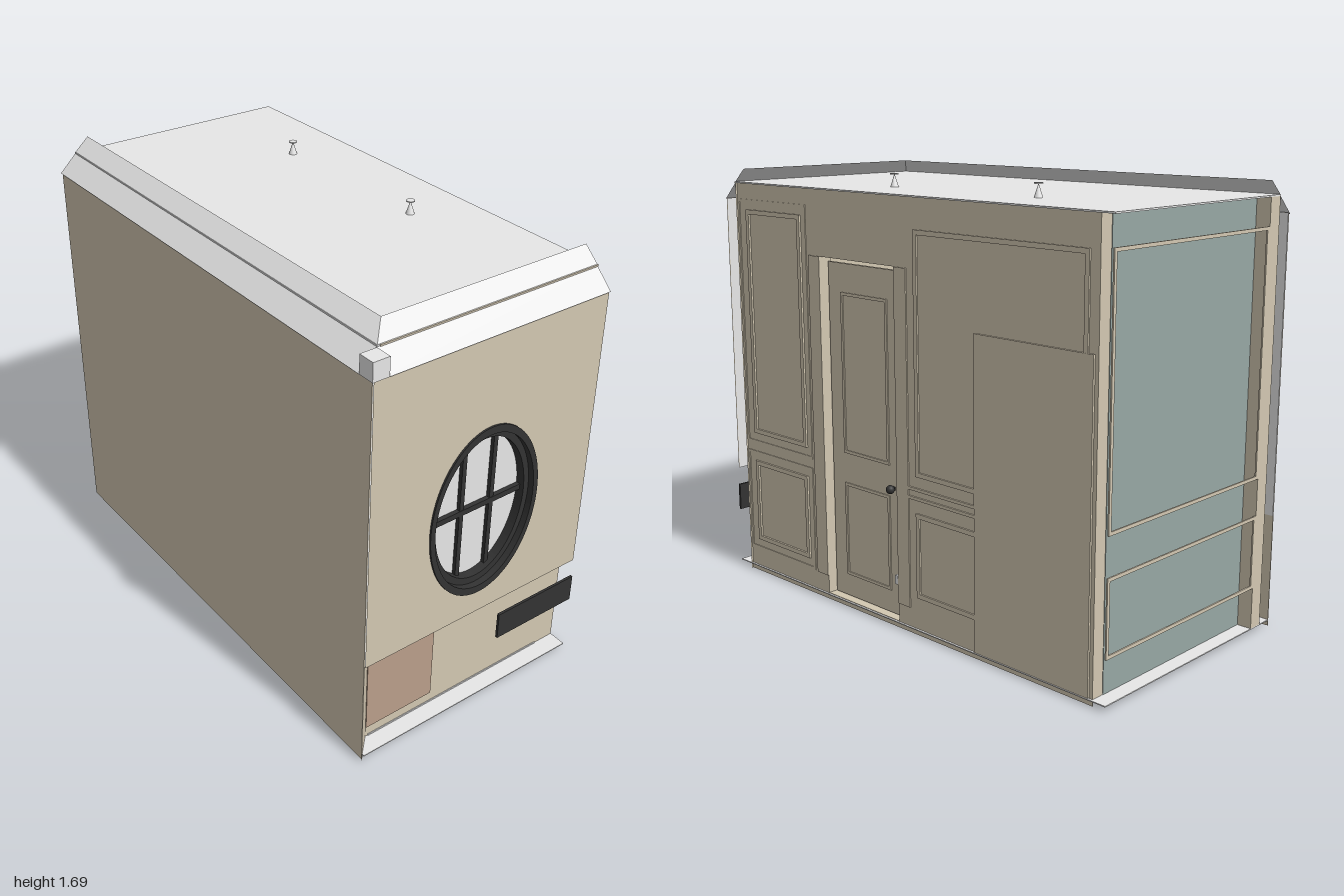
import * as THREE from 'three';

const mat = (name, color, side = THREE.FrontSide) => {
  const m = new THREE.MeshStandardMaterial({ color, side });
  m.name = name;
  return m;
};

export function createModel() {
  const beige = mat('beige paint', 0xd3c8b2, THREE.DoubleSide);
  const grey = mat('light grey', 0xe7e7e7, THREE.DoubleSide);
  const black = mat('black metal', 0x333333, THREE.DoubleSide);
  const teal = mat('teal wall', 0x97a7a4);
  const red = mat('dusty red', 0xba9f8a);

  const model = new THREE.Group();
  model.name = 'vestibule';
  const add = (name, geometry, material, parent = model) => {
    const mesh = new THREE.Mesh(geometry, material);
    mesh.name = name;
    parent.add(mesh);
    return mesh;
  };
  // box from its minimum and maximum corners
  const box = (name, material, x0, x1, y0, y1, z0, z1, parent) => {
    const mesh = add(name, new THREE.BoxGeometry(x1 - x0, y1 - y0, z1 - z0), material, parent);
    mesh.position.set((x0 + x1) / 2, (y0 + y1) / 2, (z0 + z1) / 2);
    return mesh;
  };
  const rectPoints = (x0, x1, y0, y1) => [[x0, y0], [x1, y0], [x1, y1], [x0, y1]].map(p => new THREE.Vector2(...p));
  const ellipse = (Type, rx, ry) => new Type().absellipse(0.008, 0.875, rx, ry, 0, Math.PI * 2);

  // floor sheet with a thin skirt below, and roof sheet
  box('floor', grey, -0.49, 0.5, 0.02, 0.024, -1, 1);
  box('rightSkirt', beige, 0.488, 0.492, 0, 0.026, -0.94, 0.93);
  box('roof', grey, -0.43, 0.5, 1.632, 1.638, -1, 0.93);

  // plain left wall with its inner lining, and the inner wall behind it
  box('leftWall', beige, -0.493, -0.49, 0, 1.57, -1, 0.99);
  box('leftWallLining', grey, -0.49, -0.487, 0.44, 1.57, -1, 0.985);
  box('leftInnerWall', beige, -0.43, -0.37, 0.024, 1.632, -1, 0.93);

  // front: recessed lower wall, upper facade with an oval hole
  const inner = new THREE.Shape(rectPoints(-0.43, 0.5, 0, 1.632));
  inner.holes.push(ellipse(THREE.Path, 0.22, 0.32));
  add('frontInnerWall', new THREE.ShapeGeometry(inner, 48), beige).position.z = 0.93;
  const facade = new THREE.Shape(rectPoints(-0.49, 0.5, 0.435, 1.568));
  facade.holes.push(ellipse(THREE.Path, 0.24, 0.343));
  add('facade', new THREE.ShapeGeometry(facade, 48), beige).position.z = 0.993;
  add('facadeLining', new THREE.ShapeGeometry(facade, 48), grey).position.z = 0.988;
  const mitre = (name, material, y0, y1) => {
    const mesh = add(name, new THREE.PlaneGeometry(0.099, y1 - y0), material);
    mesh.position.set(-0.465, (y0 + y1) / 2, 0.965);
    mesh.rotation.y = Math.PI / 4;
  };
  mitre('lowerCornerMitre', beige, 0, 0.435);
  box('redPanel', red, -0.43, -0.13, 0.07, 0.435, 0.93, 0.934);
  box('frontVent', black, 0.125, 0.5, 0.25, 0.36, 0.99, 1);
  box('frontSkirtLine', grey, -0.42, 0.41, 0.024, 0.03, 0.93, 0.933);

  // oval window
  const oval = new THREE.Group();
  oval.name = 'ovalWindow';
  model.add(oval);
  const ring = (name, outer, innerR, z, depth) => {
    const shape = ellipse(THREE.Shape, ...outer);
    shape.holes.push(ellipse(THREE.Path, ...innerR));
    add(name, new THREE.ExtrudeGeometry(shape, { depth, bevelEnabled: false, curveSegments: 48 }), black, oval).position.z = z;
  };
  ring('outerFrame', [0.242, 0.345], [0.222, 0.315], 0.93, 0.07);
  ring('innerFrame', [0.224, 0.318], [0.2, 0.287], 0.93, 0.045);
  add('glass', new THREE.ShapeGeometry(ellipse(THREE.Shape, 0.21, 0.3), 48), grey, oval).position.z = 0.94;
  for (const x of [-0.06, 0.075])
    box('verticalBar', black, x - 0.009, x + 0.009, 0.6, 1.15, 0.94, 0.955, oval);
  box('crossBar', black, -0.195, 0.211, 0.864, 0.886, 0.94, 0.957, oval);

  // mitred cornice: profile as [inset, height], swept along left and front
  const profile = [[0, 1.565], [0.07, 1.632], [0.072, 1.638], [0.13, 1.69]];
  const path = d => [[-0.5 + d, -1], [-0.5 + d, 1 - d], [0.5, 1 - d]];
  const corners = [];
  for (let i = 0; i < profile.length - 1; i++) {
    const [lo, hi] = [profile[i], profile[i + 1]].map(([d, y]) => path(d).map(([x, z]) => [x, y, z]));
    for (let j = 0; j < 2; j++)
      corners.push(...lo[j], ...lo[j + 1], ...hi[j + 1], ...lo[j], ...hi[j + 1], ...hi[j]);
  }
  const cornice = new THREE.BufferGeometry();
  cornice.setAttribute('position', new THREE.Float32BufferAttribute(corners, 3));
  cornice.computeVertexNormals();
  add('cornice', cornice, grey);
  box('corniceLine', beige, -0.42, 0.5, 1.632, 1.638, 0.929, 0.934);
  box('corniceCorner', grey, -0.5, -0.435, 1.565, 1.635, 0.935, 1);

  // right wall with a door opening; the shape's x runs towards -z
  const rightWall = new THREE.Shape(rectPoints(-0.93, 0.94, 0.024, 1.632));
  rightWall.holes.push(new THREE.Path(rectPoints(-0.42, -0.005, 0.026, 1.38)));
  const wall = add('rightWall', new THREE.ExtrudeGeometry(rightWall, { depth: 0.052, bevelEnabled: false }), beige);
  wall.rotation.y = Math.PI / 2;
  wall.position.x = 0.44;

  // thin rectangular moulding facing right
  const sideFrame = (name, z0, z1, y0, y1, w, x = 0.492, t = 0.006) => {
    const shape = new THREE.Shape(rectPoints(-z1, -z0, y0, y1));
    shape.holes.push(new THREE.Path(rectPoints(-z1 + w, -z0 - w, y0 + w, y1 - w)));
    const mesh = add(name, new THREE.ExtrudeGeometry(shape, { depth: t, bevelEnabled: false }), beige);
    mesh.rotation.y = Math.PI / 2;
    mesh.position.x = x;
  };
  for (const [y0, y1] of [[0.1, 0.53], [0.565, 1.57]]) {
    sideFrame('panelBorder', 0.5, 0.928, y0, y1, 0.012, 0.492, 0.003);
    sideFrame('panelMoulding', 0.53, 0.87, y0 + 0.045, y1 - 0.04, 0.018, 0.492, 0.008);
  }
  for (const [y0, y1] of [[0.15, 0.48], [0.62, 1.52]])
    sideFrame('rearPanelMoulding', -0.9, -0.1, y0, y1, 0.018);
  for (const y of [0.53, 0.565]) box('chairRail', beige, 0.492, 0.498, y, y + 0.012, -0.4, -0.06);
  box('rearPlate', beige, 0.492, 0.5, 0.026, 1.19, -0.925, -0.4);

  // door, casing and hardware
  box('door', beige, 0.445, 0.46, 0.03, 1.36, 0.01, 0.41);
  for (const [y0, y1] of [[0.12, 0.5], [0.62, 1.25]])
    sideFrame('doorPanel', 0.08, 0.34, y0, y1, 0.012, 0.46, 0.004);
  box('casingLeft', beige, 0.492, 0.497, 0.1, 1.38, 0.42, 0.485);
  box('casingRight', beige, 0.492, 0.497, 0.1, 1.38, -0.06, 0.003);
  box('latch', grey, 0.475, 0.499, 0.175, 0.21, 0.003, 0.018);
  add('doorKnob', new THREE.SphereGeometry(0.017, 16, 12), black).position.set(0.482, 0.535, 0.055);
  box('knobStem', black, 0.46, 0.48, 0.529, 0.541, 0.049, 0.061);

  // recessed teal back wall with open mouldings in front
  box('backWall', teal, -0.37, 0.44, 0.024, 1.632, -0.942, -0.93);
  for (const [y0, y1] of [[0.185, 0.468], [0.61, 1.53]]) {
    const shape = new THREE.Shape(rectPoints(-0.37, 0.5, y0, y1));
    shape.holes.push(new THREE.Path(rectPoints(-0.357, 0.487, y0 + 0.013, y1 - 0.013)));
    add('backMoulding', new THREE.ExtrudeGeometry(shape, { depth: 0.006, bevelEnabled: false }), beige).position.z = -1;
  }

  // two small lamps on the roof
  for (const z of [0.245, -0.48]) {
    add('lampCone', new THREE.ConeGeometry(0.016, 0.05, 20), grey).position.set(0.263, 1.663, z);
    add('lampDisc', new THREE.CylinderGeometry(0.016, 0.016, 0.004, 20), grey).position.set(0.263, 1.687, z);
  }
  return model;
}
